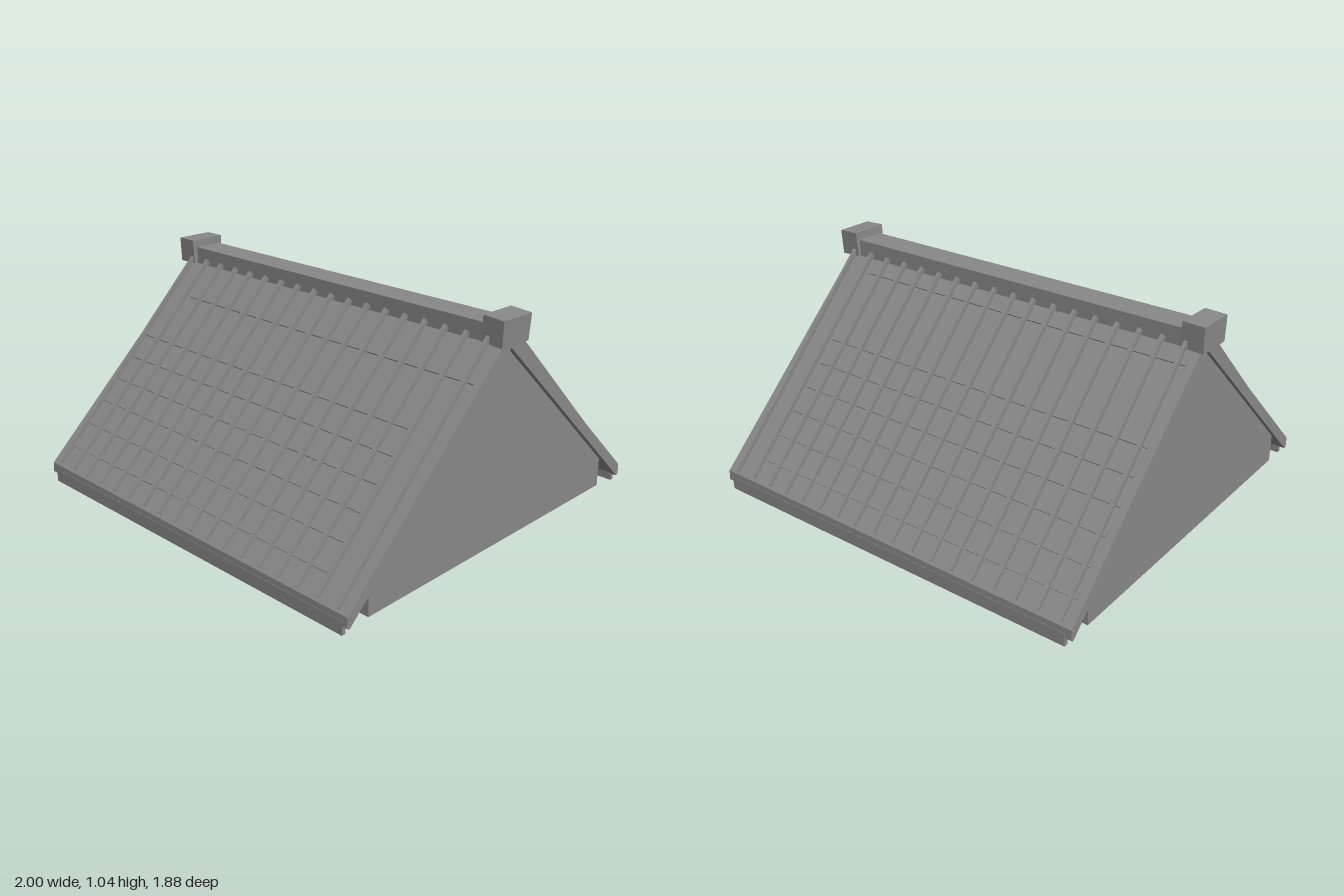
import * as THREE from 'three';

export function createModel() {
  const group = new THREE.Group();
  const grey = new THREE.MeshStandardMaterial({ color: 0x888888 });
  grey.name = 'roof grey';

  function add(name, geometry) {
    const mesh = new THREE.Mesh(geometry, grey);
    mesh.name = name;
    group.add(mesh);
    return mesh;
  }

  // Prism running along x from a [z, y] profile
  function prism(name, profile, x0, x1) {
    const shape = new THREE.Shape(profile.map(([z, y]) => new THREE.Vector2(-z, y)));
    const geometry = new THREE.ExtrudeGeometry(shape, { depth: x1 - x0, bevelEnabled: false });
    geometry.rotateY(Math.PI / 2).translate(x0, 0, 0);
    return add(name, geometry);
  }

  // Height of the roof panel's upper face
  const roofY = (z) => 0.965 - 0.94 * z;

  // Solid gabled body
  prism('gableBody', [[-0.795, 0.015], [0.795, 0.015], [0.795, 0.18], [0, 0.925], [-0.795, 0.18]], -0.95, 0.95);

  for (const s of [1, -1]) {
    const side = s > 0 ? 'front' : 'back';
    const slope = (name, points, x0, x1) => prism(side + name, points.map(([z, y]) => [z * s, y]), x0, x1);

    // Roof panel with a plumb-cut lower edge
    slope('RoofPanel', [[0, 0.9], [0.925, 0.03], [0.937, 0.04], [0.935, roofY(0.935)], [0, 0.965]], -0.97, 0.975);

    // Eave fascia below the panel
    slope('EaveBoard', [[0.918, 0], [0.938, 0], [0.938, 0.06], [0.918, 0.06]], -0.94, 0.95);

    // Ribs, lifted off the panel towards the ridge
    for (let i = 0; i < 18; i++) {
      const x = -0.912 + i * 0.1077;
      slope('Rib' + (i + 1), [[0.07, 0.94], [0.922, 0.093], [0.937, 0.108], [0.085, 0.957]], x - 0.008, x + 0.008);
    }

    // Horizontal laths lying on the panel
    const lath = (z, x0, x1) => slope('Lath', [
      [z - 0.011, roofY(z - 0.011) - 0.005], [z + 0.011, roofY(z + 0.011) - 0.005],
      [z + 0.018, roofY(z + 0.011) + 0.004], [z - 0.004, roofY(z - 0.011) + 0.004],
    ], x0, x1);
    for (const z of [0.37, 0.463, 0.557, 0.65, 0.745, 0.84]) lath(z, -0.935, 0.8);
    if (s > 0) lath(0.18, -0.8, 0.94);
    else lath(0.1, -0.935, 0.8);
  }

  // Ridge beam
  prism('ridgeBeam', [[-0.07, 0.92], [0.065, 0.92], [0.065, 1.0], [-0.07, 1.0]], -0.93, 0.93);

  // Ridge end caps, slightly tilted
  const capProfile = [[-0.085, 0.92], [0, 0.912], [0.085, 0.92], [0.088, 1.036], [-0.088, 1.036]];
  for (const s of [1, -1]) {
    const cap = prism(s > 0 ? 'leftRidgeCap' : 'rightRidgeCap', capProfile, -0.052, 0.052);
    cap.geometry.translate(0, -0.975, 0);
    cap.position.set(s * 0.945, 0.975, 0);
    cap.rotation.set(0, -0.03, s > 0 ? -0.06 : 0.02);
  }

  return group;
}
